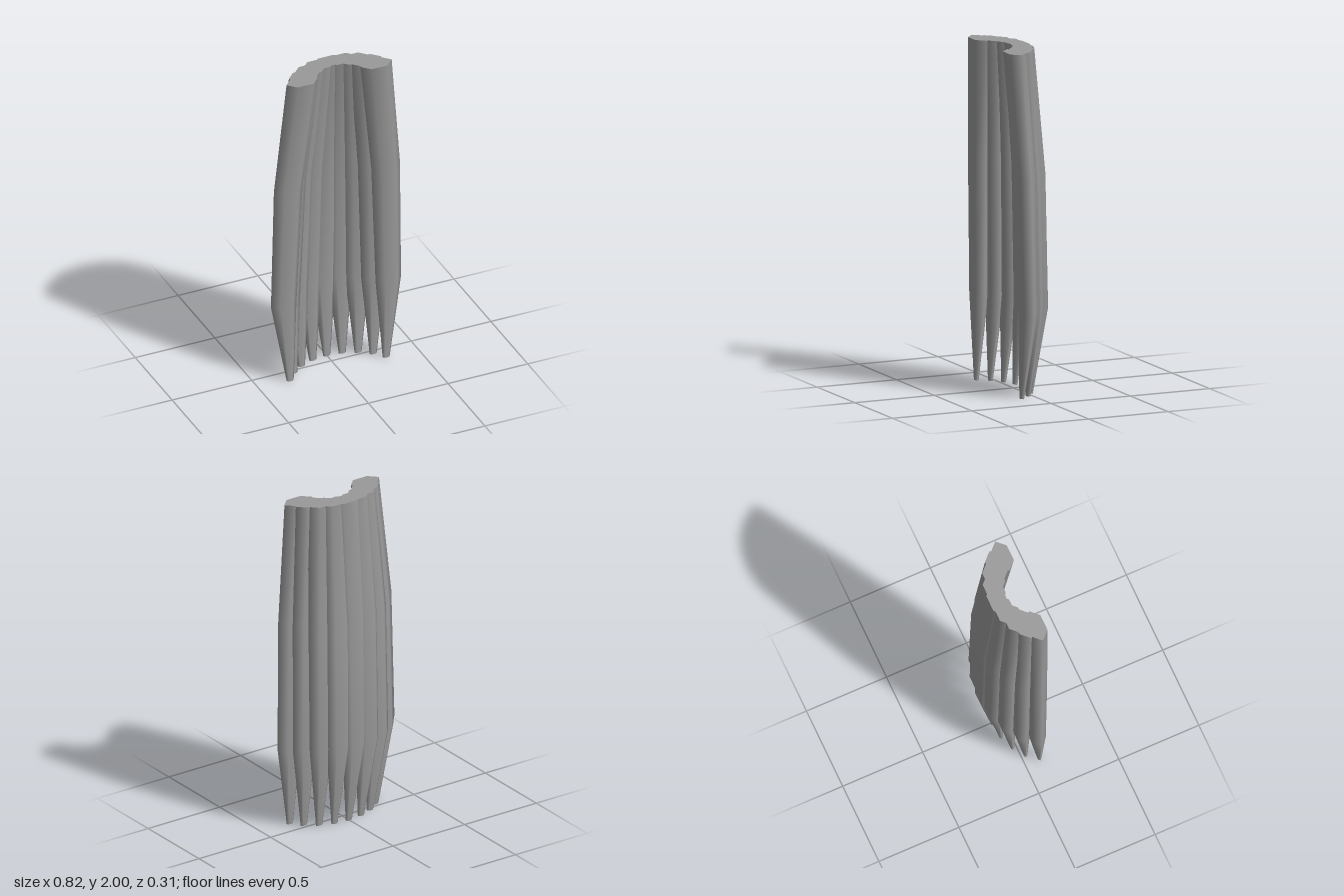
import * as THREE from 'three';
import { mergeVertices } from 'three/addons/utils/BufferGeometryUtils.js';

// Levels from the tips up: height, arc radius in x, arc radius in z,
// z of the middle slat, half width and half depth of the six-sided section
const LEVELS = [
  { y: 0.0, rx: 0.335, rz: 0.277, z: -0.065, w: 0.022, d: 0.01 },
  { y: 0.5, rx: 0.365, rz: 0.31, z: -0.113, w: 0.08, d: 0.042 },
  { y: 1.28, rx: 0.34, rz: 0.298, z: -0.094, w: 0.09, d: 0.046 },
  { y: 2.0, rx: 0.258, rz: 0.237, z: -0.03, w: 0.098, d: 0.05 },
];
const STEP = THREE.MathUtils.degToRad(16);
const SIDE = 4; // slats on each side of the middle one

// One tapered, bent six-sided slat standing at an angle along the arc
function slatGeometry(angle) {
  let g = new THREE.CylinderGeometry(1, 1, 3, 6, 3, false, Math.PI / 2);
  g.deleteAttribute('uv');
  g = mergeVertices(g); // joins the seam, keeps the end caps sharp
  const p = g.attributes.position;
  for (let i = 0; i < p.count; i++) {
    const l = LEVELS[Math.round(p.getY(i) + 1.5)];
    p.setXYZ(
      i,
      l.rx * Math.sin(angle) + p.getX(i) * l.w,
      l.y,
      l.z + l.rz * (1 - Math.cos(angle)) + (p.getZ(i) / Math.sin(Math.PI / 3)) * l.d
    );
  }
  g.computeVertexNormals();
  return g;
}

export function createModel() {
  const model = new THREE.Group();
  model.name = 'slattedShell';
  const grey = new THREE.MeshStandardMaterial({ color: 0x999999 });
  grey.name = 'grey';

  // Fan of overlapping slats, mirrored about the middle
  for (let k = -SIDE; k <= SIDE; k++) {
    const slat = new THREE.Mesh(slatGeometry(k * STEP), grey);
    slat.name = k === 0 ? 'middleSlat' : (k > 0 ? 'leftSlat' : 'rightSlat') + Math.abs(k);
    model.add(slat);
  }
  return model;
}
